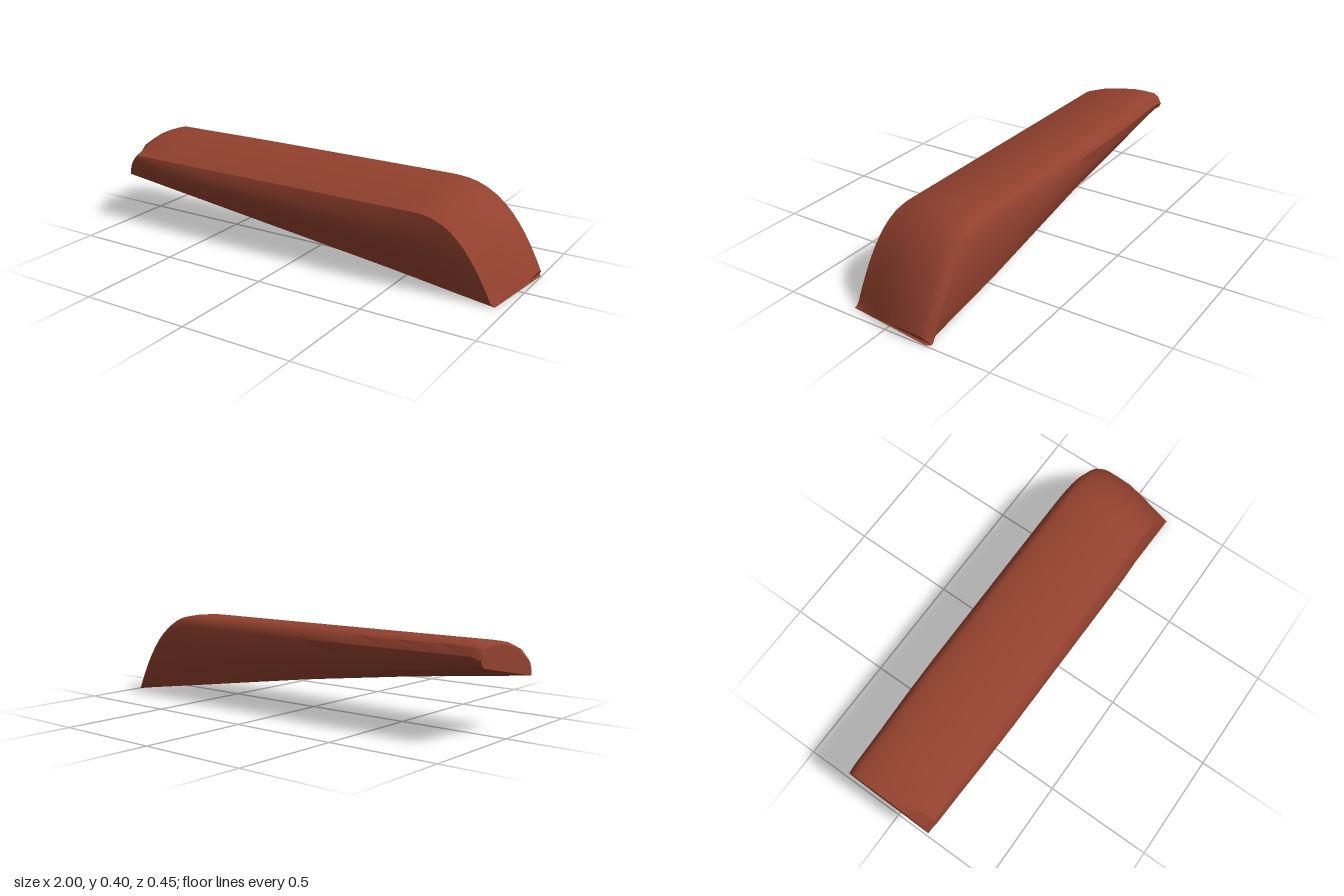
import * as THREE from 'three';
import { toCreasedNormals } from 'three/addons/utils/BufferGeometryUtils.js';

const { lerp, smoothstep } = THREE.MathUtils;

// Top contour from the front edge to the rear shoulder, as [z, y]
const CROWN = [[0.2, 0.335], [0.14, 0.357], [0.085, 0.376], [0.02, 0.388], [-0.05, 0.399],
  [-0.12, 0.402], [-0.18, 0.4], [-0.205, 0.387], [-0.225, 0.35]];

// Cross-section at station s along the length, ordered front bottom, over the top, back bottom
function section(s) {
  const u = (s + 1) / 2;                                    // 0 at the thin end, 1 at the nose
  const nose = smoothstep(s, 0.4, 1);
  const drop = 0.365 * Math.pow(Math.max(0, (s - 0.55) / 0.45), 2.75);
  const end = 1 - smoothstep(s, -1, -0.95);                 // small chamfer at the thin end
  const taper = 1 - 0.06 * (1 - smoothstep(s, -1, -0.4)) - 0.02 * nose;
  const frontBase = lerp(0.23, 0, u), backBase = lerp(0.298, 0, u);

  const crown = CROWN.map(([z, y]) => {
    const base = lerp(backBase, frontBase, (z + 0.2) / 0.4);
    const cut = end * (0.015 + 0.02 * Math.max(0, z) / 0.2);
    return [z > 0.1 ? z - 0.03 * end : z * (z < 0 ? taper : 1), Math.max(base + 0.004, y - drop - cut)];
  });
  const edge = crown[0], shoulder = crown[crown.length - 1];
  const bulge = 0.025 * (1 - nose) * (0.4 + 0.6 * smoothstep(s, -1, -0.4));
  const front = [[0, 0], [0.25, 0.7], [0.55, 1], [0.8, 0.75]].map(([t, k]) =>
    [lerp(0.198, edge[0], t) + bulge * k, lerp(frontBase, edge[1], t)]);
  const backZ = lerp(-0.15, -0.2, Math.min(1, u * 1.3));
  const back = [[0.5, 0.85], [0.2, 0.55], [0, 0]].map(([t, k]) =>
    [lerp(backZ, shoulder[0], k), lerp(backBase, shoulder[1], t)]);

  // The nose is swept back toward the front edge
  return [...front, ...crown, ...back].map(([z, y]) => {
    const sweep = 0.045 * smoothstep(z, -0.08, 0.24) * 1.15 + 0.015 * smoothstep(-z, 0.19, 0.225);
    return [s - nose * sweep, y, z];
  });
}

// Skin the cross-sections and close both ends
function loft(rings) {
  const n = rings[0].length, last = (rings.length - 1) * n, index = [];
  for (let i = 0; i < rings.length - 1; i++) {
    for (let j = 0; j < n; j++) {
      const a = i * n + j, b = i * n + (j + 1) % n;
      index.push(a, a + n, b, b, a + n, b + n);
    }
  }
  for (let j = 1; j < n - 1; j++) {
    index.push(0, j, j + 1, last, last + j + 1, last + j);
  }
  const geo = new THREE.BufferGeometry();
  geo.setAttribute('position', new THREE.Float32BufferAttribute(rings.flat(2), 3));
  geo.setIndex(index);
  return toCreasedNormals(geo, 0.6);
}

export function createModel() {
  const group = new THREE.Group();
  group.name = 'wedge';
  const stations = [-1, -0.95, -0.8, -0.6, -0.4, -0.1, 0.2, 0.4, 0.5];
  for (let i = 1; i <= 16; i++) stations.push(0.5 + 0.5 * Math.sin((i / 16) * Math.PI / 2));

  const body = new THREE.Mesh(loft(stations.map(section)),
    new THREE.MeshStandardMaterial({ color: 0x93412e }));
  body.name = 'taperedBody';
  group.add(body);
  return group;
}
